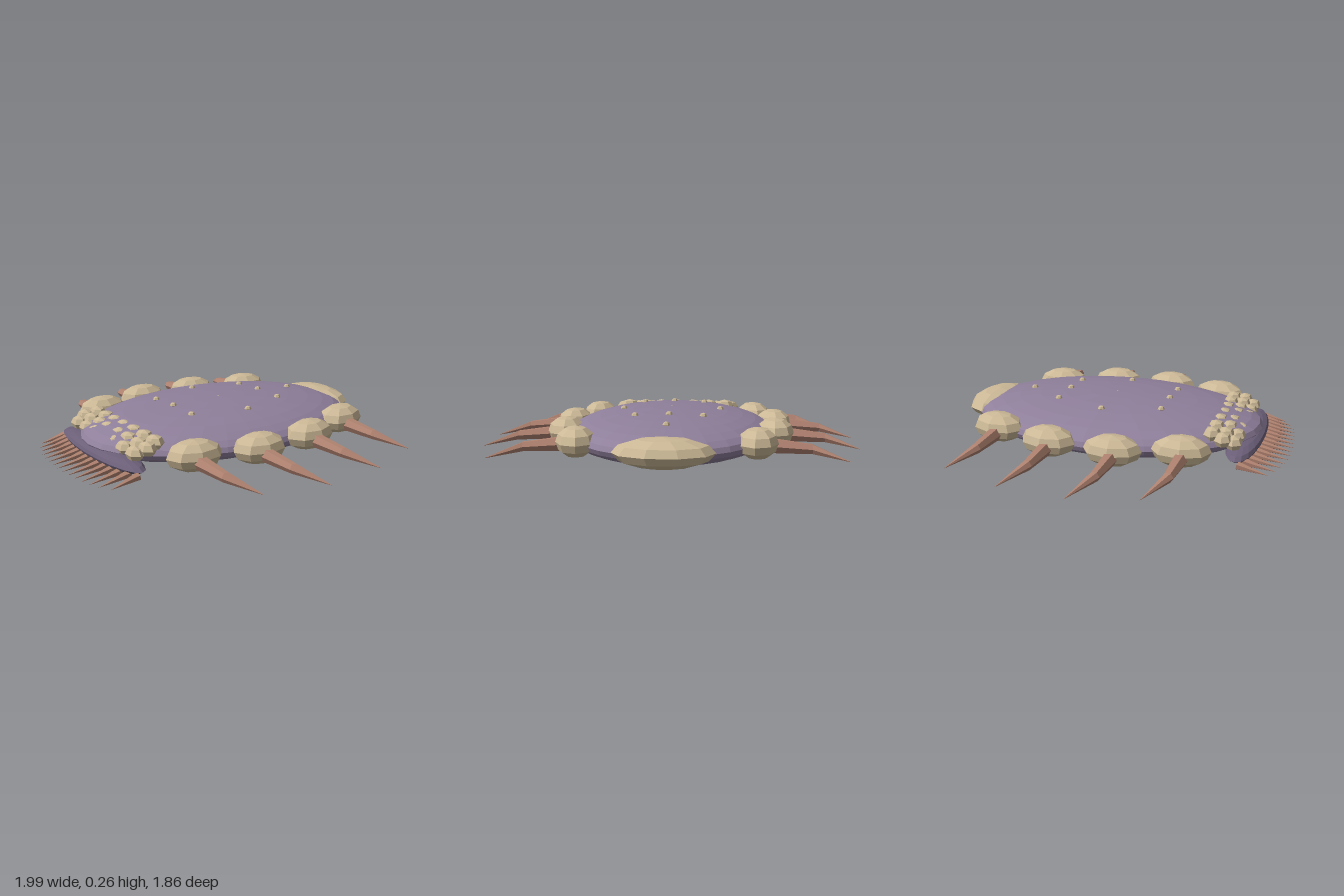
import * as THREE from 'three';

const paint = (color) => new THREE.MeshStandardMaterial({ color, flatShading: true });

export function createModel() {
  const model = new THREE.Group();
  const hide = paint(0x8f7f9b), lipColor = paint(0x6b5f78);
  const bone = paint(0xcbb896), horn = paint(0xb08270);

  // Faceted ellipsoid: position, radii, segment counts and turn about y
  const blob = (name, mat, pos, radii, seg = 8, rings = 6, turn = 0) => {
    const mesh = new THREE.Mesh(new THREE.SphereGeometry(1, seg, rings), mat);
    mesh.name = name;
    mesh.position.set(...pos);
    mesh.scale.set(...radii);
    mesh.rotation.y = turn;
    model.add(mesh);
  };

  // Body: broad flattened ellipsoid
  const C = [0, 0.128, -0.06], R = [0.55, 0.126, 0.81];
  blob('body', hide, C, R, 32, 16);
  const bodyTop = (x, z) =>
    C[1] + R[1] * Math.sqrt(Math.max(0, 1 - (x / R[0]) ** 2 - ((z - C[2]) / R[2]) ** 2));

  // Bent horn swept outward through three rings
  const bentHorn = (s, path) => {
    const g = new THREE.CylinderGeometry(1, 1, 2, 6, 2).rotateZ(-Math.PI / 2);
    const p = g.attributes.position;
    for (let i = 0; i < p.count; i++) {
      const [x, y, z, r] = path[Math.round(p.getX(i)) + 1];
      const dy = p.getY(i) * r, dz = p.getZ(i) * r;
      p.setXYZ(i, s * x, y + dy, z + s * dz);
    }
    g.computeVertexNormals();
    const mesh = new THREE.Mesh(g, horn);
    mesh.name = 'sideHorn';
    model.add(mesh);
  };

  // Side knobs, each carrying a horn: x, z, turn
  const knobs = [[0.44, -0.57, 0.16], [0.548, -0.24, 0.08], [0.567, 0.105, -0.06], [0.472, 0.425, -0.14]];
  for (const s of [-1, 1]) {
    for (const [x, z, turn] of knobs) {
      blob('sideKnob', bone, [s * x, 0.143, z], [0.1, 0.077, 0.148], 8, 6, s * turn);
      bentHorn(s, [
        [x + 0.05, 0.13, z + 0.015, 0.04],
        [x + 0.26, 0.115, z + 0.005, 0.026],
        [x + 0.43, 0.07, z - 0.075, 0.001],
      ]);
    }
  }

  // Rear plate
  blob('rearPlate', bone, [0, 0.133, -0.79], [0.24, 0.072, 0.152], 10, 6);

  // Small studs on the back
  const studs = [[0, -0.565], [0, -0.34], [0, -0.06], [0, 0.24]];
  for (const s of [-1, 1]) studs.push([s * 0.175, -0.34], [s * 0.265, -0.06], [s * 0.175, 0.24]);
  for (const [x, z] of studs) {
    const sink = x === 0 && z === -0.06 ? 0.015 : 0;
    blob('backStud', bone, [x, bodyTop(x, z) - sink, z], [0.019, 0.017, 0.019], 6, 4);
  }

  // Rows of pebbles above the mouth: z, y, x positions
  const rows = [
    [0.54, 0.182, [0, 0.1, 0.2, 0.3]],
    [0.6, 0.168, [0.06, 0.15, 0.25, 0.33]],
    [0.65, 0.147, [0, 0.1, 0.2, 0.3]],
  ];
  for (const [z, y, xs] of rows) {
    for (const x of xs) {
      for (const s of x ? [-1, 1] : [1]) blob('browPebble', bone, [s * x, y, z], [0.057, 0.038, 0.046], 6, 4);
    }
  }

  // Wide lower lip
  blob('lip', lipColor, [0, 0.09, 0.675], [0.412, 0.043, 0.095], 20, 8);

  // Fringe of teeth below the lip
  for (let i = -7; i <= 7; i++) {
    const x = i * 0.0555, bow = Math.sqrt(1 - (x / 0.412) ** 2);
    const base = new THREE.Vector3(x, 0.068, 0.665 + 0.06 * bow);
    const tip = new THREE.Vector3(x * 1.02, 0.036, 0.8 + 0.125 * bow);
    const dir = tip.clone().sub(base);
    const tooth = new THREE.Mesh(new THREE.ConeGeometry(0.023, dir.length(), 6), horn);
    tooth.name = 'tooth';
    tooth.position.copy(base).add(tip).multiplyScalar(0.5);
    tooth.quaternion.setFromUnitVectors(new THREE.Vector3(0, 1, 0), dir.normalize());
    model.add(tooth);
  }

  return model;
}
